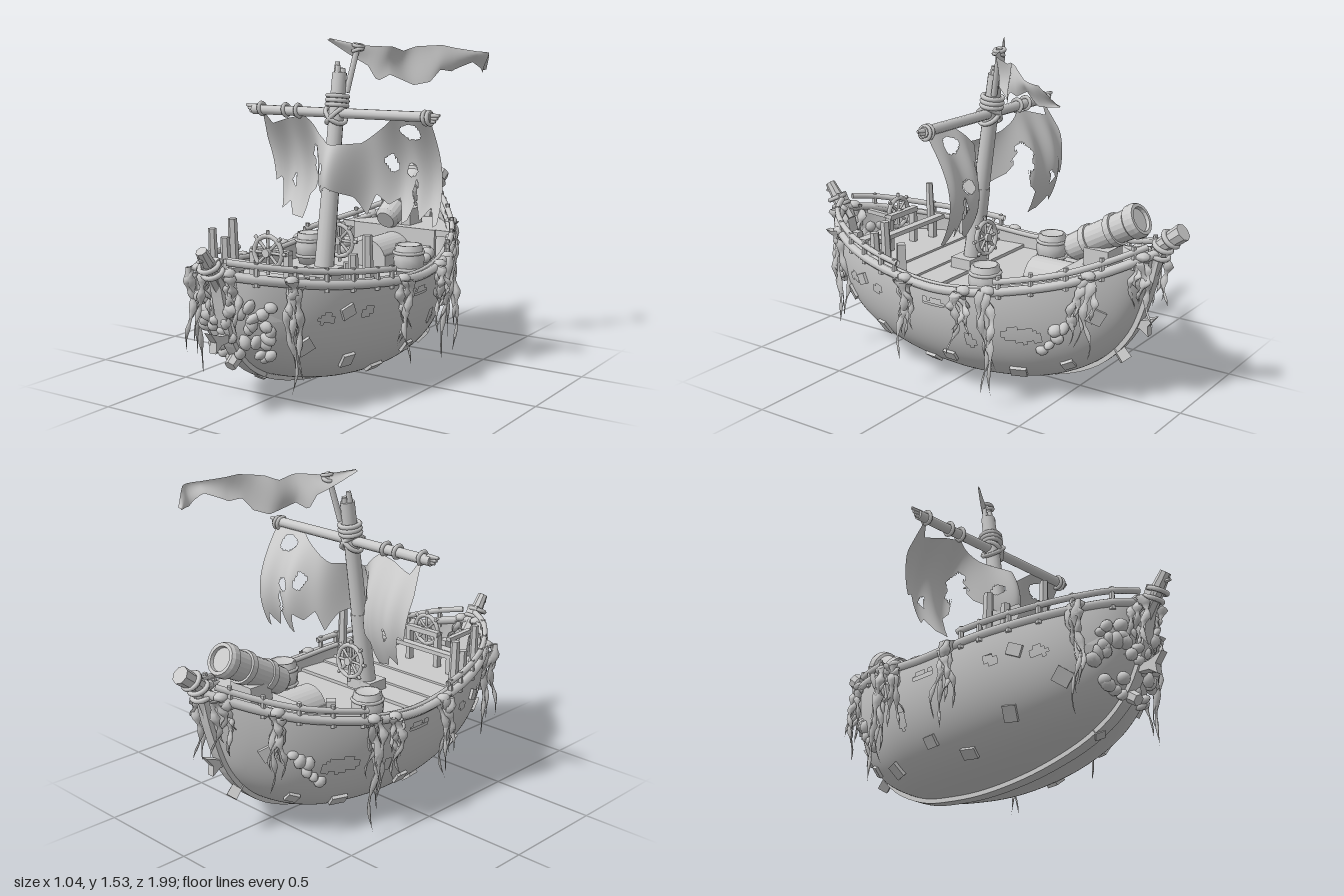
import * as THREE from 'three';
import { mergeGeometries } from 'three/addons/utils/BufferGeometryUtils.js';

const V = (x, y, z) => new THREE.Vector3(x, y, z);
const V2 = (x, y) => new THREE.Vector2(x, y);
const mat = new THREE.MeshStandardMaterial({ color: 0xcccccc, side: THREE.DoubleSide });
const flat = new THREE.MeshStandardMaterial({ color: 0xcccccc, side: THREE.DoubleSide, flatShading: true });
let seed = 7;
const rnd = (a = 0, b = 1) => { seed = (seed * 16807) % 2147483647; return a + (b - a) * seed / 2147483647; };

// piecewise-linear lookup in [[x, y], ...]
function table(t, x) {
  for (let i = 1; i < t.length; i++) if (x <= t[i][0] || i === t.length - 1) {
    return THREE.MathUtils.lerp(t[i - 1][1], t[i][1], THREE.MathUtils.clamp((x - t[i - 1][0]) / (t[i][0] - t[i - 1][0]), 0, 1));
  }
}
// surface from fn(u, v) -> Vector3, leaving out cells where cut(point) is true
function sheet(fn, nu, nv, cut = () => false) {
  const pos = [], idx = [], pts = [];
  for (let i = 0; i <= nu; i++) for (let j = 0; j <= nv; j++) { const p = fn(i / nu, j / nv); pts.push(p); pos.push(p.x, p.y, p.z); }
  for (let i = 0; i < nu; i++) for (let j = 0; j < nv; j++) {
    const a = i * (nv + 1) + j, c = a + nv + 1;
    if (!cut(pts[a].clone().add(pts[c + 1]).multiplyScalar(0.5))) idx.push(a, c, c + 1, a, c + 1, a + 1);
  }
  const g = new THREE.BufferGeometry();
  g.setAttribute('position', new THREE.Float32BufferAttribute(pos, 3));
  g.setIndex(idx); g.computeVertexNormals();
  return g;
}
const inEllipse = (list, a, b) => list.some(([x, y, rx, ry]) => ((a - x) / rx) ** 2 + ((b - y) / ry) ** 2 < 1);
// geometry turned from its +y axis to a direction, at a point
function aim(g, dir, at) {
  g.applyQuaternion(new THREE.Quaternion().setFromUnitVectors(V(0, 1, 0), dir.clone().normalize()));
  return g.translate(at.x, at.y, at.z);
}
const rod = (a, b, r0, r1 = r0, n = 10) =>
  aim(new THREE.CylinderGeometry(r1, r0, a.distanceTo(b), n), b.clone().sub(a), a.clone().lerp(b, 0.5));
const ring = (at, dir, r, t) => aim(new THREE.TorusGeometry(r, t, 6, 18).rotateX(Math.PI / 2), dir, at);
const box = (x, y, z, w, h, d) => new THREE.BoxGeometry(w, h, d).translate(x, y, z);
const tube = (pts, r, n = 40) => new THREE.TubeGeometry(new THREE.CatmullRomCurve3(pts), n, r, 7);
const lathe = (pts, n) => new THREE.LatheGeometry(pts.map(p => V2(...p)), n);
// side outline given as (z, y), extruded across x around the centre plane
const slab = (pts, w) => new THREE.ExtrudeGeometry(new THREE.Shape(pts), { depth: w, bevelEnabled: false }).rotateY(-Math.PI / 2).translate(w / 2, 0, 0);
function mirrored(g) {
  const m = g.clone().scale(-1, 1, 1);
  if (m.index) { const a = m.index.array; for (let i = 0; i < a.length; i += 3) [a[i], a[i + 1]] = [a[i + 1], a[i]]; }
  return m;
}

// hull stations: keel z, keel y, rim z, rim y, rim half width
const ST = [[.87, .58, .88, .62, 0], [.81, .36, .80, .6, .14], [.72, .23, .68, .575, .245], [.57, .135, .52, .55, .335],
  [.3, .06, .28, .525, .41], [0, .03, 0, .505, .435], [-.22, .04, -.22, .525, .42], [-.42, .075, -.4, .555, .365],
  [-.61, .17, -.58, .595, .275], [-.75, .33, -.72, .645, .17], [-.83, .55, -.83, .695, .065], [-.86, .68, -.88, .72, 0]];
const keel = new THREE.CatmullRomCurve3(ST.map(s => V(0, s[1], s[0])));
const rim = new THREE.CatmullRomCurve3(ST.map(s => V(s[4], s[3], s[2])));
function hullPoint(s, v) {
  const k = keel.getPoint(s), r = rim.getPoint(s), a = v * Math.PI / 2;
  return V(Math.max(0, r.x) * Math.sin(a) ** 0.7, k.y + (r.y - k.y) * (1 - Math.cos(a)), k.z + (r.z - k.z) * v);
}
function rimAt(z) {
  let a = 0, b = 1;
  for (let i = 0; i < 24; i++) { const m = (a + b) / 2; if (rim.getPoint(m).z > z) a = m; else b = m; }
  return rim.getPoint(a);
}
// nearest hull point and outward normal for a side position
function onHull(z, y) {
  let best = 9, S = 0, W = 0;
  for (let i = 1; i < 60; i++) for (let j = 1; j < 30; j++) {
    const p = hullPoint(i / 60, j / 30), d = Math.hypot(p.z - z, p.y - y);
    if (d < best) { best = d; S = i / 60; W = j / 30; }
  }
  const p = hullPoint(S, W), n = hullPoint(S + .01, W).sub(p).cross(hullPoint(S, W + .01).sub(p)).normalize();
  return { p, n: n.x < 0 ? n.negate() : n };
}

export function createModel() {
  const root = new THREE.Group();
  const add = (name, geos, m = mat) => {
    const list = [].concat(geos).map(g => { const q = g.index ? g.toNonIndexed() : g; q.deleteAttribute('uv'); return q; });
    const mesh = new THREE.Mesh(mergeGeometries(list), m);
    mesh.name = name; root.add(mesh);
  };
  const both = (name, geos, m) => { const list = [].concat(geos); add(name, [...list, ...list.map(mirrored)], m); };

  // hull with ragged holes, and its inner planking
  const breaches = [[.55, .41, .035, .02], [.35, .41, .035, .02], [0, .435, .06, .014], [-.4, .34, .08, .035], [-.17, .28, .022, .035]];
  both('hull', sheet(hullPoint, 140, 44, p => inEllipse(breaches, p.z, p.y + .004 * Math.sin(p.z * 90))));
  both('innerHull', sheet((u, v) => hullPoint(.06 + .88 * u, .15 + .85 * v).multiply(V(.93, 1, 1)), 40, 12));

  // keel and stem band
  const spine = [V(0, .68, .92), ...keel.getPoints(50), V(0, .74, -.88)], outer = [], inner = [];
  spine.forEach((p, i) => {
    const t = spine[Math.min(i + 1, spine.length - 1)].clone().sub(spine[Math.max(i - 1, 0)]).normalize();
    outer.push(V2(p.z - t.y * .02, p.y + t.z * .02));
    inner.unshift(V2(p.z + t.y * .03, p.y - t.z * .03));
  });
  add('keel', slab([...outer, ...inner], .056), flat);

  // broken stem and stern posts with rope bindings
  add('bowPost', [rod(V(0, .56, .85), V(0, .67, .93), .035, .03, 8), rod(V(0, .66, .92), V(0, .73, .97), .03, .024, 8), rod(V(0, .69, .94), V(0, .69, .99), .012, .008, 6)], flat);
  add('sternPost', [rod(V(0, .6, -.83), V(0, .75, -.88), .032, .034, 8), rod(V(0, .73, -.86), V(0, .82, -.975), .032, .04, 8)], flat);
  add('postRopes', [[.63, .9, .5], [.66, .925, .5], [.7, -.87, -.3], [.74, -.885, -.5], [.78, -.92, -1]].map(([y, z, d]) => ring(V(0, y, z), V(0, 1, d), .04, .011)));
  // flared snags and broken stubs on the stem line
  const snag = [[0, -.015], [.05, -.018], [.09, -.045], [.085, 0], [.12, .045], [.05, .02], [0, .018]];
  add('snags', [slab(snag.map(([z, y]) => V2(.82 + z, .345 + y)), .035), slab(snag.map(([z, y]) => V2(-.75 - z, .375 + y)).reverse(), .035)], flat);
  add('keelStubs', [rod(V(0, .2, .55), V(0, .12, .6), .028, .03, 4), rod(V(0, .27, -.66), V(0, .19, -.73), .03, .034, 4), rod(V(0, .27, .73), V(0, .22, .8), .03, .026, 6)], flat);

  // rim and railings
  const along = (z0, z1, dy, k = 1, n = 24) => Array.from({ length: n + 1 }, (_, i) => { const p = rimAt(z0 + (z1 - z0) * i / n); return V(p.x * k, p.y + dy, p.z); });
  both('rim', [tube(along(.87, -.87, 0, 1, 50), .02, 80), tube(along(.85, -.85, .01, .94, 40), .012, 60)]);
  both('rail', [tube(along(.86, .2, .055), .014), tube(along(-.3, -.84, .045), .014)]);
  const railPosts = [.8, .68, .56, .44, .31, .22, -.32, -.45, -.58, -.7, -.8].map(z => { const p = rimAt(z); return rod(V(p.x, p.y - .03, z), V(p.x, p.y + .07, z), .014, .011, 6); });
  const tall = [[.36, .31, .73], [.34, .39, .66]].map(([x, z, y]) => rod(V(x, .47, z), V(x, y, z + .01), .025, .021, 6));
  both('railPosts', [...railPosts, ...tall], flat);
  add('deckStumps', [rod(V(.26, .46, .31), V(.26, .6, .31), .03, .026, 4), rod(V(-.27, .45, -.39), V(-.27, .62, -.39), .03, .03, 4), rod(V(-.28, .47, .55), V(-.28, .73, .56), .022, .018, 6)], flat);

  // stepped decks
  const deck = (z0, z1, y, h = .03) => {
    const side = along(z0, z1, 0, .95, 12), pts = [...side.map(p => V2(p.x, -p.z)), ...side.reverse().map(p => V2(-p.x, -p.z))];
    return new THREE.ExtrudeGeometry(new THREE.Shape(pts), { depth: h, bevelEnabled: false }).rotateX(-Math.PI / 2).translate(0, y - h, 0);
  };
  add('decks', [deck(.08, -.52, .45), deck(.22, .07, .465), deck(.36, .21, .475), deck(.68, .35, .485), deck(.81, .66, .45),
    deck(-.5, -.84, .61), box(0, .53, -.5, .46, .16, .02), box(0, .49, -.44, .42, .08, .1)], flat);
  // mast step, low bench, loose planks
  add('mastStep', box(0, .49, .11, .15, .05, .11), flat);
  add('bench', [box(0, .575, .48, .54, .02, .04), box(-.2, .52, .48, .03, .1, .03), box(.2, .52, .48, .03, .1, .03)], flat);
  add('loosePlanks', [box(.06, .5, .75, .04, .06, .04), box(-.07, .56, .73, .025, .02, .16).rotateX(-.05), box(0, .5, .69, .2, .02, .05)], flat);

  // leaning mast with a broken top
  const mastAt = y => V(-.01, y, .1 - (y - .5) * .145);
  const lean = mastAt(1.4).sub(mastAt(.5));
  add('mast', [rod(mastAt(.46), mastAt(.85), .046, .04, 14), rod(mastAt(.85), mastAt(1.38), .037, .033, 14),
    ...[0, 1, 2, 3].map(i => { const o = V(.016 * Math.cos(i * 1.6), 0, .016 * Math.sin(i * 1.6)); return rod(mastAt(1.34).add(o), mastAt(1.4 + .014 * (i % 3)).add(o), .017, .011, 6); })]);
  // yard with frayed ends
  const yz = -.002;
  add('yard', [rod(V(-.48, 1.195, yz), V(.48, 1.205, yz), .023), ...[-1, 1].flatMap(s => [0, 1, 2].map(i =>
    rod(V(s * .46, 1.2 + (i - 1) * .01, yz), V(s * (.5 + .01 * i), 1.2 + (i - 1) * .014, yz), .014, .007, 5)))]);
  // rope lashings
  add('lashings', [1.235, 1.255, 1.275].map(y => ring(mastAt(y), lean, .046, .011))
    .concat([1, -1].map(s => ring(V(-.01, 1.19, .005), V(s * .9, 1, .2), .052, .011)))
    .concat([-.43, -.29, -.22, .45, .47].map(x => ring(V(x, 1.2, yz), V(1, .15, 0), .028, .009))));

  // torn sail, forward around the mast and blown back at both sides
  const sailTop = [[-.46, 1.06], [-.43, 1.2], [-.4, 1.13], [-.3, 1.16], [-.2, 1.18], [-.1, 1.1], [0, 1.065], [.12, 1.07], [.2, 1.13], [.28, 1.19], [.38, 1.2], [.47, 1.19]];
  const sailLow = [[-.46, 1.03], [-.43, .85], [-.4, .87], [-.375, .72], [-.34, .76], [-.3, .7], [-.235, .69], [-.225, .8], [-.185, .84], [-.165, 1], [-.12, .9], [-.05, .84], [.02, .88],
    [.1, .83], [.14, .74], [.17, .84], [.22, .79], [.26, .82], [.29, .71], [.32, .73], [.35, .82], [.38, .73], [.42, .79], [.45, .71], [.48, .73]];
  const tears = [[.35, 1.13, .05, .035], [.23, .98, .022, .04], [.32, .95, .03, .03], [.34, .86, .01, .05], [-.17, .97, .03, .07], [-.05, .95, .02, .025], [-.33, .86, .01, .03]];
  add('sail', sheet((u, v) => {
    const x = -.46 + .93 * u, y = THREE.MathUtils.lerp(table(sailTop, x), table(sailLow, x), v);
    const b = Math.sin(Math.PI * .75 * Math.min(1.15, Math.max(0, 1.2 - y) / .45)), mid = Math.exp(-((x - .01) ** 2) / .018);
    return V(x, y, yz + b * (mid * .26 - .125) + .012 * Math.sin(x * 40) * b);
  }, 150, 70, p => inEllipse(tears, p.x + .006 * Math.sin(p.y * 90), p.y)));

  // tattered pennant on a tied staff
  const flagPath = new THREE.CatmullRomCurve3([[-.08, -.03], [.04, -.1], [.17, -.16], [.22, -.25], [.3, -.31], [.37, -.4], [.46, -.53], [.42, -.62]].map(([x, z]) => V(x, 0, z)));
  const flagTop = [[0, 1.535], [.15, 1.5], [.3, 1.495], [.4, 1.475], [.5, 1.495], [.65, 1.5], [.8, 1.47], [.9, 1.46], [1, 1.38]];
  const flagLow = [[0, 1.525], [.2, 1.41], [.24, 1.34], [.3, 1.37], [.36, 1.35], [.45, 1.32], [.55, 1.335], [.62, 1.39], [.7, 1.38], [.8, 1.42], [.88, 1.37], [1, 1.37]];
  add('pennant', sheet((u, v) => flagPath.getPoint(u).setY(THREE.MathUtils.lerp(table(flagTop, u), table(flagLow, u), v)).add(V(.015 * Math.sin(v * 3 + u * 9), 0, 0)), 60, 10));
  add('pennantStaff', [rod(V(.02, 1.29, -.04), V(.05, 1.51, -.09), .014, .013, 7), ring(V(.05, 1.5, -.09), V(.2, 1, 0), .022, .009), ring(V(.05, 1.48, -.085), V(-.3, 1, 0), .022, .009)]);

  // banded cannon on its rounded bed
  const c0 = V(-.01, .645, -.43), c1 = V(-.01, .84, -.775), cd = c1.clone().sub(c0), len = cd.length();
  add('cannon', aim(lathe([[0, 0], [.045, 0], [.06, .02], [.064, .1], [.073, .1], [.073, .13], [.065, .13], [.065, .24], [.075, .24], [.075, .27], [.065, .27],
    [.067, .34], [.077, .35], [.077, len - .015], [.07, len], [.055, len], [.052, len - .015], [0, len - .015]], 20), cd, c0), flat);
  add('cannonBed', [new THREE.CylinderGeometry(.1, .1, .24, 16, 1, false, 0, Math.PI).rotateZ(Math.PI / 2).rotateY(Math.PI / 2).translate(0, .48, -.37),
    box(0, .48, -.37, .2, .06, .24), box(0, .65, -.6, .13, .08, .12)], flat);

  // closed barrels with hoops
  both('barrels', [lathe([[0, 0], [.055, 0], [.072, .06], [.074, .09], [.062, .15], [.053, .15], [.053, .14], [0, .14]], 10).translate(.275, .45, -.17),
    ring(V(.275, .49, -.17), V(0, 1, 0), .067, .008), ring(V(.275, .565, -.17), V(0, 1, 0), .068, .008)]);

  // steering wheels
  const wheel = (at, tilt, r) => {
    const g = [new THREE.TorusGeometry(r * .75, .011, 6, 20), new THREE.CylinderGeometry(.02, .02, .04, 8).rotateX(Math.PI / 2)];
    for (let i = 0; i < 8; i++) { const a = i * Math.PI / 4; g.push(rod(V(0, 0, 0), V(r * Math.cos(a), r * Math.sin(a), 0), .006, .008, 6)); }
    return g.map(q => q.rotateX(tilt).translate(at.x, at.y, at.z));
  };
  add('leaningWheel', wheel(V(.01, .62, .01), .08, .1));
  add('helm', [...wheel(V(0, .65, .535), 0, .095), box(-.09, .56, .515, .025, .17, .03), box(.09, .56, .515, .025, .17, .03), box(0, .65, .51, .2, .025, .03)]);

  // boulders stuck to bow and flanks, and heaped near the stern
  const rock = p => new THREE.SphereGeometry(1, 9, 7).scale(rnd(.022, .04), rnd(.018, .03), rnd(.02, .032)).rotateZ(rnd(0, 3)).translate(p.x, p.y, p.z);
  const rocks = [];
  for (const s of [1, -1]) {
    for (let i = 0; i < 22; i++) {
      const y = rnd(.25, .5), stem = .74 + (y - .25) * .34, { p } = onHull(stem + rnd(-.06, .05), y);
      if (p.x < .19) rocks.push(rock(V(p.x * s, p.y, p.z + .01)));
    }
    for (const [z, y] of [[-.46, .28], [-.5, .31], [-.54, .33], [-.53, .38], [-.58, .4], [-.61, .42]]) rocks.push(rock(onHull(z, y).p.multiply(V(s, 1, 1))));
    for (let i = 0; i < 5; i++) rocks.push(rock(V(s * rnd(.12, .24), .48 + rnd(0, .05), rnd(-.46, -.38))));
  }
  add('boulders', rocks);

  // plank patches nailed on the hull
  const patches = [[.37, .2], [.48, .42], [-.05, .17], [-.55, .2], [.1, .1], [.62, .3], [-.25, .44], [-.35, .13], [-.68, .45]].map(([z, y]) => {
    const { p, n } = onHull(z, y); return aim(new THREE.BoxGeometry(rnd(.05, .07), .025, rnd(.05, .08)).rotateY(rnd(-.4, .4)), n, p); });
  both('patches', patches, flat);

  // hanging weed: bent, wavy-edged tapering strands
  const strand = (p, L, r) => {
    const g = new THREE.ConeGeometry(r, L, 5, 14, true).rotateX(Math.PI).translate(0, -L / 2, 0), a = g.attributes.position;
    const ph = rnd(0, 6), dx = rnd(-.03, .03), dz = rnd(-.05, .05);
    for (let i = 0; i < a.count; i++) {
      const t = -a.getY(i) / L, k = (1 + .5 * Math.sin(t * 22 + ph)) * (1 + .6 * t);
      a.setXYZ(i, a.getX(i) * k * .8 + dx * t + .012 * Math.sin(t * 7 + ph), a.getY(i), a.getZ(i) * k + dz * t + .014 * Math.sin(t * 8 + ph * 2));
    }
    g.computeVertexNormals();
    return g.translate(p.x, p.y, p.z);
  };
  const weeds = [];
  for (const [z, L] of [[.7, .45], [.15, .37], [-.17, .3], [-.28, .49], [-.66, .36], [.86, .28], [-.83, .28]]) for (const s of [1, -1]) {
    const p = rimAt(z);
    for (let i = 0; i < 5; i++) weeds.push(strand(V(s * (p.x + rnd(.01, .035)), p.y + rnd(-.02, .02), z + rnd(-.03, .03)), L * (i ? rnd(.45, .95) : 1), rnd(.016, .023)));
    weeds.push(new THREE.SphereGeometry(.03, 7, 5).scale(1, .7, 1.2).translate(s * (p.x + .01), p.y + .01, z));
  }
  add('hangingWeed', weeds);
  return root;
}
